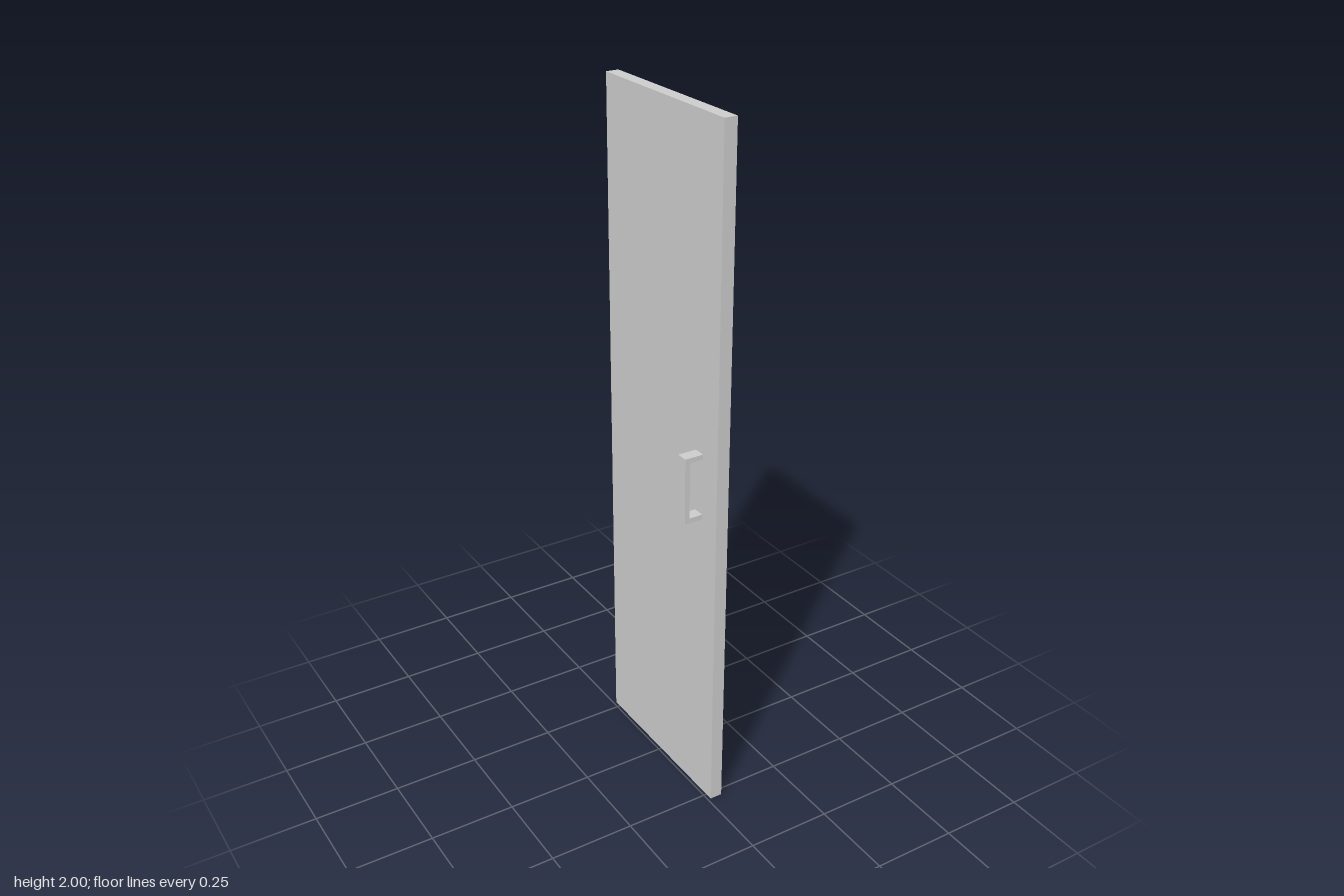
import * as THREE from 'three';

export function createModel() {
  const model = new THREE.Group();
  const material = new THREE.MeshStandardMaterial({ color: 0xcccccc, flatShading: true });

  const add = (name, geometry) => {
    const mesh = new THREE.Mesh(geometry, material);
    mesh.name = name;
    model.add(mesh);
    return mesh;
  };

  // Flat door slab, standing edge-on to the front
  const slabFace = 0.009;
  const slabEdge = 0.046;
  const slab = add('doorPanel', new THREE.BoxGeometry(slabEdge - slabFace, 2, 0.545));
  slab.position.set((slabFace + slabEdge) / 2, 1, 0);

  // C-shaped pull handle, a flat bracket swept across its width
  const outer = -0.046, bar = 0.015, bottom = 0.905, top = 1.1;
  const bracket = new THREE.Shape([
    [slabFace, bottom],
    [slabFace, bottom + bar],
    [outer + bar, bottom + bar],
    [outer + bar, top - bar],
    [slabFace, top - bar],
    [slabFace, top],
    [outer, top],
    [outer, bottom],
  ].map(([x, y]) => new THREE.Vector2(x, y)));
  const handle = add('pullHandle', new THREE.ExtrudeGeometry(bracket, { depth: 0.034, bevelEnabled: false }));
  handle.position.z = 0.171;

  return model;
}
